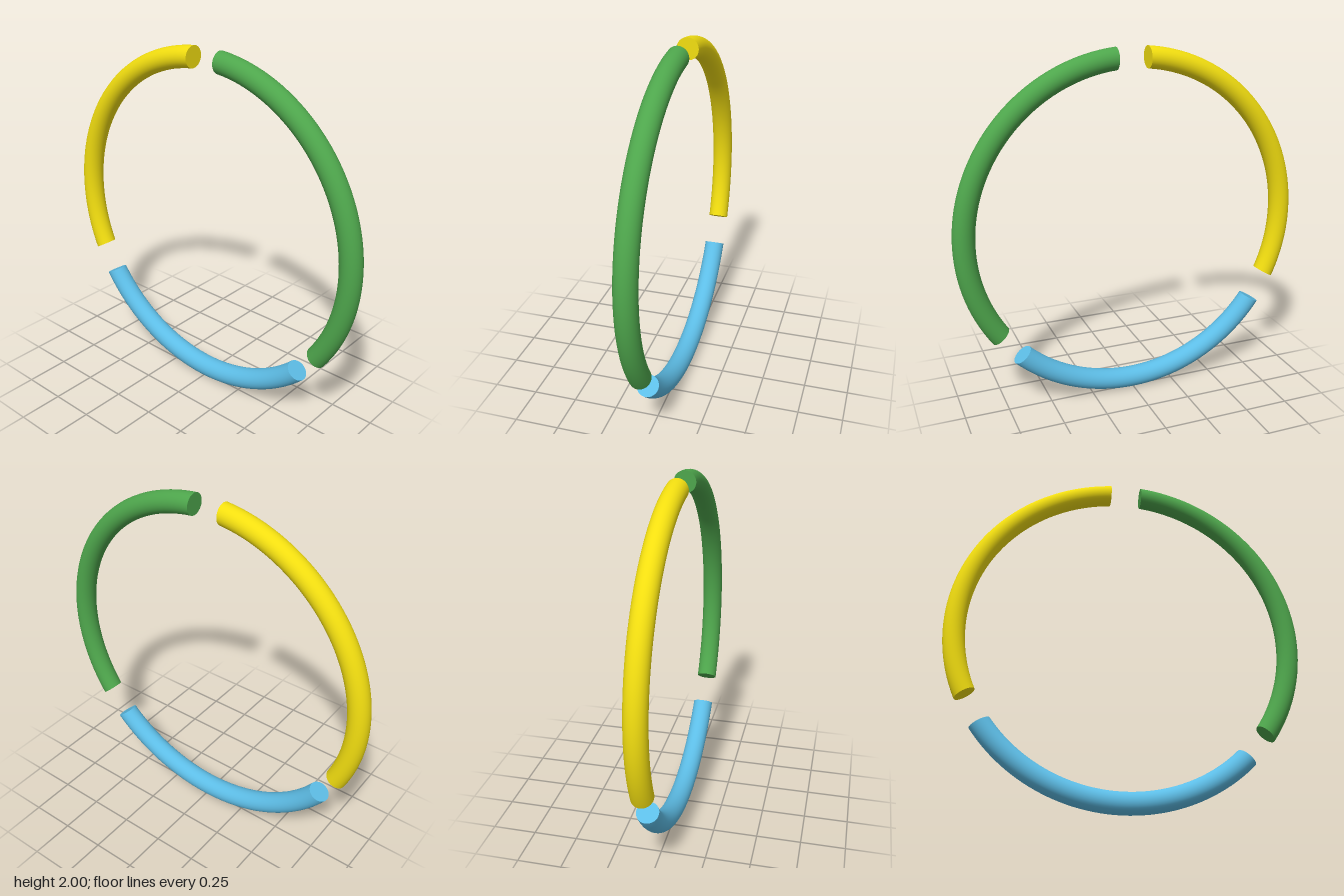
import * as THREE from 'three';

const R = 0.94;         // ring centre-line radius
const T = 0.06;         // tube radius
const HALF_GAP = 0.09;  // each cut plane lies this far from its gap's spoke
const RAD = Math.PI / 180;

// Angle of a cut at distance r from the ring axis, so that the cut is flat
const cutAngle = (spoke, side, r) => spoke * RAD + side * Math.asin(HALF_GAP / r);

// Curved tube between two spokes, its ends trimmed parallel to them
function arcGeometry(from, to) {
  const geo = new THREE.TorusGeometry(R, T, 32, 48, (to - from) * RAD);
  const { position, normal, uv } = geo.attributes;
  for (let i = 0; i < position.count; i++) {
    const v = uv.getY(i) * Math.PI * 2;
    const r = R + T * Math.cos(v);
    const a = THREE.MathUtils.lerp(cutAngle(from, 1, r), cutAngle(to, -1, r), uv.getX(i));
    position.setXYZ(i, r * Math.cos(a), r * Math.sin(a), T * Math.sin(v));
    normal.setXYZ(i, Math.cos(v) * Math.cos(a), Math.cos(v) * Math.sin(a), Math.sin(v));
  }
  return geo;
}

// Flat end disc; side 1 closes the start of an arc, -1 its end
function capGeometry(spoke, side) {
  const geo = new THREE.CircleGeometry(T, 32);
  const p = geo.attributes.position;
  for (let i = 0; i < p.count; i++) {
    const r = R + p.getX(i);
    const a = cutAngle(spoke, side, r);
    p.setXYZ(i, r * Math.cos(a), r * Math.sin(a), side * p.getY(i));
  }
  geo.computeVertexNormals();
  return geo;
}

export function createModel() {
  const model = new THREE.Group();
  model.name = 'segmentedRing';

  const segments = [
    ['greenArc', -40, 90, 0x4ea64c],
    ['yellowArc', 90, 210, 0xf2de10],
    ['blueArc', 210, 320, 0x5dbde6],
  ];
  for (const [name, from, to, color] of segments) {
    const material = new THREE.MeshStandardMaterial({ color });
    const arc = new THREE.Group();
    arc.name = name;
    const add = (part, geometry) => {
      const mesh = new THREE.Mesh(geometry, material);
      mesh.name = part;
      arc.add(mesh);
    };
    add('tube', arcGeometry(from, to));
    add('startCap', capGeometry(from, 1));
    add('endCap', capGeometry(to, -1));
    arc.position.y = 1;
    model.add(arc);
  }
  return model;
}
